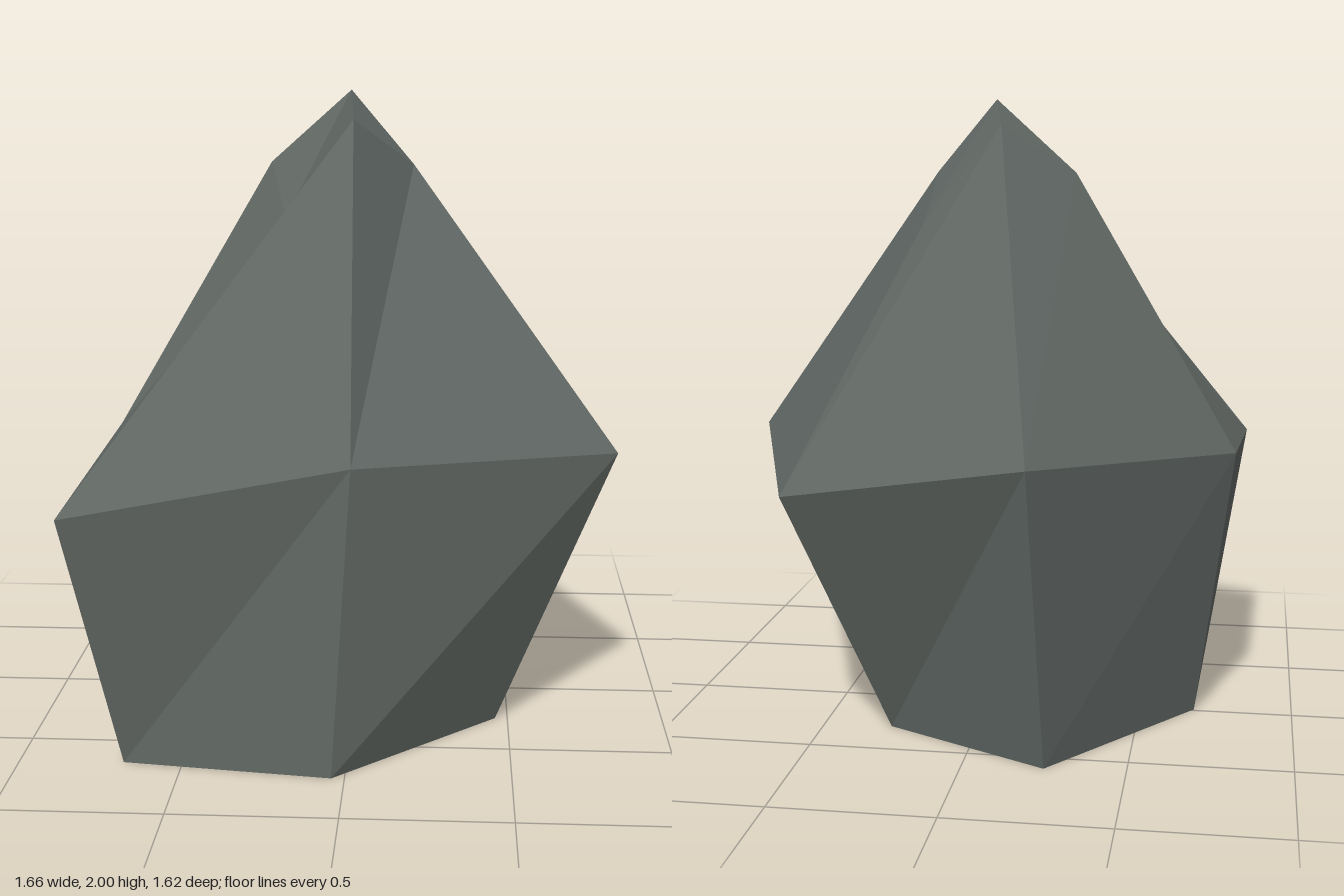
import * as THREE from 'three';

export function createModel() {
  const group = new THREE.Group();
  const stone = new THREE.MeshStandardMaterial({ color: 0x626965, flatShading: true, side: THREE.DoubleSide });
  stone.name = 'dark grey stone';

  // Three irregular six-sided rings and a peak
  const base = [[-0.68, 0, 0.66], [-0.04, 0, 0.74], [0.46, 0, 0.26], [0.28, 0, -0.3], [-0.25, 0, -0.59], [-0.68, 0, 0.01]];
  const middle = [[-0.83, 0.81, 0.81], [0.02, 0.96, 0.76], [0.83, 0.89, 0.25], [0.56, 0.81, -0.58], [-0.22, 0.96, -0.81], [-0.8, 0.89, -0.08]];
  const upper = [[-0.24, 1.57, 0.18], [0, 1.92, 0.24], [0.18, 1.77, 0.04], [0.18, 1.62, -0.21], [-0.06, 1.92, -0.19], [-0.28, 1.77, -0.05]];
  const peak = [-0.02, 2, -0.01];
  // Inner lip of the narrow crack beside the first upper corner
  const crack = [-0.2, 1.52, 0.13];

  const addFaces = (name, triangles) => {
    const geometry = new THREE.BufferGeometry();
    geometry.setAttribute('position', new THREE.Float32BufferAttribute(triangles.flat(2), 3));
    geometry.computeVertexNormals();
    const mesh = new THREE.Mesh(geometry, stone);
    mesh.name = name;
    group.add(mesh);
  };

  const lowerBand = [], slopes = [], cap = [];
  for (let i = 0; i < 6; i++) {
    const j = (i + 1) % 6;
    const lip = i === 5 ? crack : upper[j];
    lowerBand.push([base[i], base[j], middle[j]], [base[i], middle[j], middle[i]]);
    slopes.push([middle[i], middle[j], upper[j]], [middle[i], lip, upper[i]]);
    cap.push([upper[i], lip, peak]);
  }
  // Thin ledge inside the crack
  slopes.push([middle[5], upper[0], crack]);

  addFaces('rockLowerBand', lowerBand);
  addFaces('rockSlopes', slopes);
  addFaces('rockCap', cap);
  return group;
}
